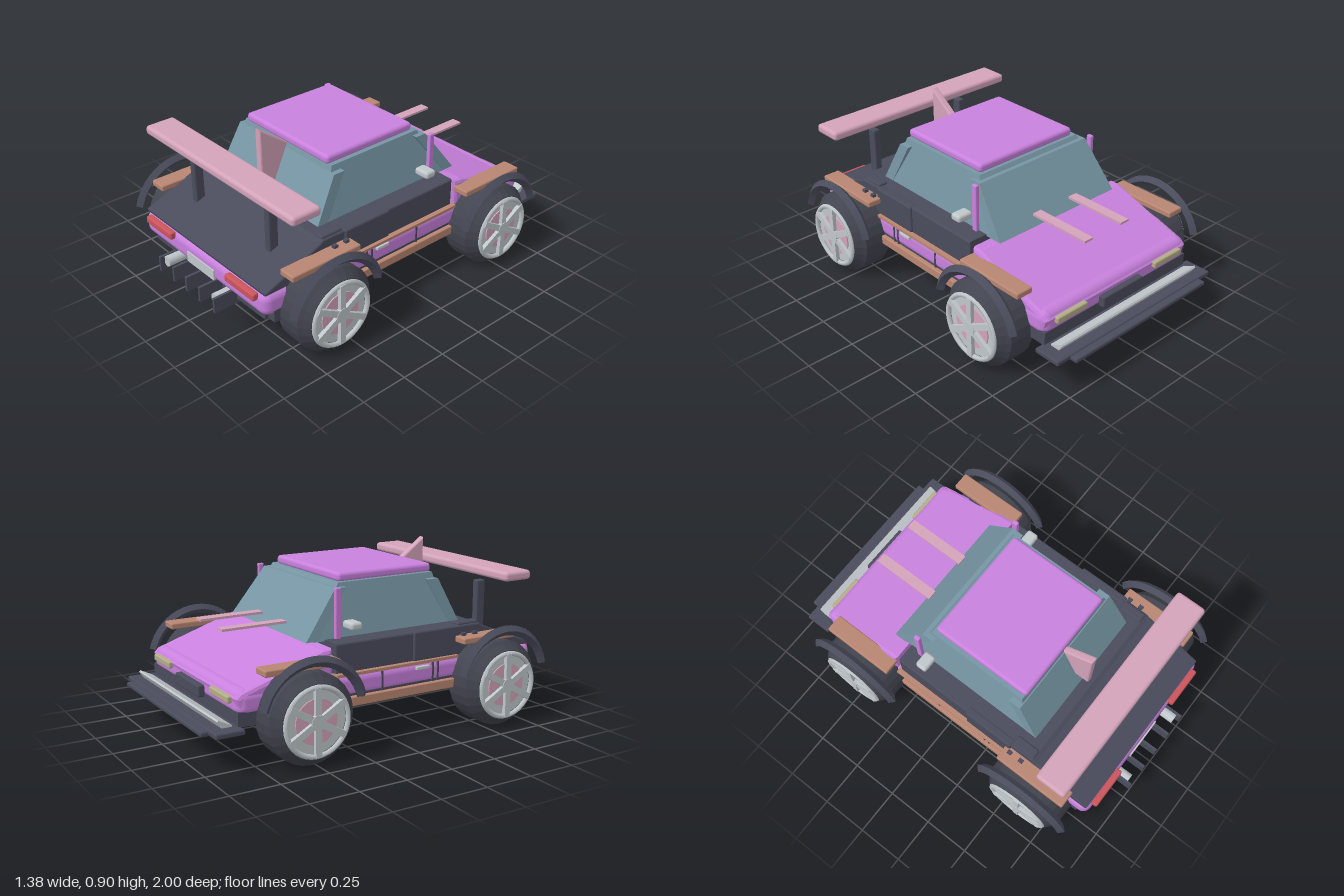
import * as THREE from 'three';
import { RoundedBoxGeometry } from 'three/addons/geometries/RoundedBoxGeometry.js';

const paint = (name, color) => {
  const m = new THREE.MeshStandardMaterial({ color });
  m.name = name;
  return m;
};

// Splits shared vertices so every face is shaded flat
function faceted(geo) {
  const g = geo.index ? geo.toNonIndexed() : geo;
  g.computeVertexNormals();
  return g;
}

// Side profile given as [z, y] points, extruded across x with a small bevel
function profile(points, width, bevel = 0.008) {
  const shape = new THREE.Shape(points.map(([z, y]) => new THREE.Vector2(z, y)));
  const depth = width - 2 * bevel;
  const g = new THREE.ExtrudeGeometry(shape, {
    depth, bevelEnabled: bevel > 0, bevelThickness: bevel, bevelSize: bevel, bevelOffset: -bevel, bevelSegments: 2,
  });
  g.translate(0, 0, -depth / 2);
  return g.rotateY(-Math.PI / 2);
}

// Tapered block: half widths and z ranges at the bottom and the top
function taper(y0, y1, w0, w1, [a0, b0], [a1, b1]) {
  const g = new THREE.BoxGeometry(1, 1, 1);
  const p = g.attributes.position;
  for (let i = 0; i < p.count; i++) {
    const top = p.getY(i) > 0;
    const w = top ? w1 : w0;
    const z = p.getZ(i) < 0 ? (top ? a1 : a0) : (top ? b1 : b0);
    p.setXYZ(i, Math.sign(p.getX(i)) * w, top ? y1 : y0, z);
  }
  return faceted(g);
}

export function createModel() {
  const car = new THREE.Group();
  car.name = 'car';
  const violet = paint('violet paint', 0xc981de);
  const dark = paint('dark slate', 0x4a4c5c);
  const tyreDark = paint('tyre dark', 0x42444f);
  const glass = paint('blue glass', 0x7796a4);
  const pink = paint('pink trim', 0xd4a3ba);
  const copper = paint('copper trim', 0xb98672);
  const silver = paint('silver', 0xc0c7cb);
  const red = paint('red lamp', 0xcc555c);
  const cream = paint('cream lamp', 0xb3ad87);

  const add = (name, geo, mat, parent = car) => {
    const mesh = new THREE.Mesh(geo, mat);
    mesh.name = name;
    parent.add(mesh);
    return mesh;
  };
  // Box from its min and max along each axis, rounded when r > 0
  const box = (name, mat, [x0, x1], [y0, y1], [z0, z1], r = 0) => {
    const size = [x1 - x0, y1 - y0, z1 - z0];
    const g = r ? new RoundedBoxGeometry(...size, 3, r) : new THREE.BoxGeometry(...size);
    g.translate((x0 + x1) / 2, (y0 + y1) / 2, (z0 + z1) / 2);
    return add(name, g, mat);
  };
  // The same box on both sides of the car
  const pair = (name, mat, [x0, x1], y, z, r) => {
    box(name + 'Left', mat, [x0, x1], y, z, r);
    box(name + 'Right', mat, [-x1, -x0], y, z, r);
  };

  // Body
  box('underbody', dark, [-0.5, 0.5], [0.2, 0.27], [-0.83, 0.85]);
  box('lowerBody', violet, [-0.505, 0.505], [0.24, 0.367], [-0.83, 0.905], 0.045);
  add('hood', profile([[-0.33, 0.3], [-0.33, 0.5], [-0.38, 0.495], [-0.81, 0.355], [-0.835, 0.33], [-0.82, 0.28]],
    1.0, 0.02), violet);
  add('upperBody', profile([[-0.31, 0.36], [-0.31, 0.517], [0.55, 0.517], [0.57, 0.503], [0.895, 0.375], [0.89, 0.36]],
    0.99), dark);
  pair('sidePod', dark, [0.46, 0.506], [0.37, 0.52], [0.135, 0.42], 0.01);
  pair('shoulderRail', dark, [0.43, 0.485], [0.5, 0.53], [0.42, 0.55], 0.01);

  // Cabin
  add('cabinGlass', taper(0.51, 0.775, 0.39, 0.335, [-0.37, 0.44], [-0.2, 0.36]), glass);
  add('windshield', taper(0.515, 0.755, 0.395, 0.365, [-0.415, -0.35], [-0.235, -0.17]), glass);
  add('rearWindow', taper(0.515, 0.745, 0.39, 0.37, [0.43, 0.495], [0.31, 0.375]), glass);
  box('roof', violet, [-0.315, 0.315], [0.77, 0.817], [-0.187, 0.37], 0.018);
  pair('pillar', violet, [0.385, 0.408], [0.51, 0.765], [-0.258, -0.226], 0.006);
  pair('mirror', silver, [0.385, 0.475], [0.562, 0.602], [-0.21, -0.145], 0.015);

  // Roof fin, hood strips and rear wing
  add('roofFin', profile([[0.537, 0.9], [0.537, 0.592], [0.455, 0.592], [0.37, 0.78]], 0.04, 0.01), pink);
  pair('hoodStrip', pink, [0.097, 0.152], [0.56, 0.572], [-0.735, -0.385]);
  box('rearWing', pink, [-0.592, 0.592], [0.733, 0.782], [0.635, 0.802], 0.018);
  pair('wingStrut', dark, [0.28, 0.32], [0.43, 0.695], [0.674, 0.727], 0.008);

  // Sides
  pair('sill', copper, [0.44, 0.522], [0.205, 0.253], [-0.33, 0.4], 0.006);
  pair('beltStrip', copper, [0.48, 0.522], [0.358, 0.373], [-0.32, 0.4]);
  for (const z of [0.283, 0.252, -0.052]) pair('doorSeam', dark, [0.5, 0.508], [0.255, 0.358], [z - 0.005, z + 0.005]);
  pair('doorHandle', silver, [0.5, 0.518], [0.326, 0.345], [0.145, 0.225], 0.005);
  for (const [a, b] of [[0.39, 0.8], [-0.73, -0.33]]) pair('fenderPad', copper, [0.485, 0.58], [0.437, 0.47], [a, b], 0.008);
  for (const z of [0.43, 0.5]) pair('fenderBolt', dark, [0.51, 0.53], [0.465, 0.485], [z - 0.012, z + 0.012]);

  // Tail
  pair('tailLamp', red, [0.225, 0.45], [0.324, 0.365], [0.895, 0.93], 0.01);
  box('tailPlate', silver, [-0.112, 0.112], [0.255, 0.312], [0.9, 0.912]);
  box('diffuserTray', dark, [-0.455, 0.455], [0.2, 0.235], [0.8, 0.87]);
  for (const x of [-0.23, -0.11, 0, 0.11, 0.23]) box('diffuserFin', dark, [x - 0.007, x + 0.007], [0.176, 0.257], [0.85, 1]);
  for (const x of [-0.205, 0.205]) {
    const pipe = new THREE.CylinderGeometry(0.028, 0.028, 0.14, 16).rotateX(Math.PI / 2);
    add('exhaust', pipe.translate(x, 0.232, 0.905), silver);
  }

  // Nose
  pair('headLamp', cream, [0.24, 0.44], [0.3, 0.335], [-0.853, -0.82], 0.008);
  box('grille', dark, [-0.14, 0.14], [0.25, 0.31], [-0.862, -0.82], 0.008);
  box('splitter', dark, [-0.547, 0.547], [0.178, 0.205], [-0.962, -0.815], 0.008);
  box('splitterLip', dark, [-0.465, 0.465], [0.174, 0.198], [-1, -0.9], 0.008);
  add('splitterBlade', profile([[-0.85, 0.2], [-0.85, 0.212], [-0.918, 0.246], [-0.924, 0.238], [-0.9, 0.2]], 0.96, 0.002), silver);

  // Wheels with six-spoke rims and fender arches
  const tyreProfile = [[0.001, 0.47], [0.13, 0.47], [0.17, 0.457], [0.205, 0.462], [0.222, 0.49], [0.222, 0.622],
    [0.205, 0.64], [0.18, 0.672], [0.168, 0.672], [0.162, 0.655], [0.001, 0.655]].map(([r, x]) => new THREE.Vector2(r, x));
  const turn = (g) => g.rotateZ(-Math.PI / 2);
  const tyre = faceted(turn(new THREE.LatheGeometry(tyreProfile, 28)));
  const disc = (r, x0, x1) => turn(new THREE.CylinderGeometry(r, r, x1 - x0, 28).translate(0, (x0 + x1) / 2, 0));
  const rimRing = new THREE.TorusGeometry(0.164, 0.013, 6, 36).rotateY(Math.PI / 2).translate(0.672, 0, 0);
  const arch = new THREE.TorusGeometry(0.265, 0.026, 4, 20, Math.PI * 5 / 6).rotateZ(Math.PI / 12);
  const archGeo = faceted(arch.rotateY(Math.PI / 2).translate(0.643, 0.012, 0));

  for (const [end, z] of [['rear', 0.595], ['front', -0.517]]) {
    for (const side of [1, -1]) {
      const wheel = new THREE.Group();
      wheel.name = end + 'Wheel' + (side > 0 ? 'Left' : 'Right');
      wheel.position.set(0, 0.222, z);
      wheel.rotation.y = side > 0 ? 0 : Math.PI;
      car.add(wheel);
      add('tyre', tyre, tyreDark, wheel);
      add('rimRing', rimRing, silver, wheel);
      add('rimDisc', disc(0.155, 0.65, 0.662), silver, wheel);
      add('brakeDisc', disc(0.11, 0.655, 0.668), pink, wheel);
      add('hub', disc(0.038, 0.655, 0.69), silver, wheel);
      for (let i = 0; i < 6; i++) {
        const spoke = new THREE.BoxGeometry(0.022, 0.15, 0.032).translate(0.676, 0.09, 0);
        add('spoke', spoke.rotateX(i * Math.PI / 3), silver, wheel);
      }
      add('fenderArch', archGeo, dark, wheel);
    }
  }
  // Axles
  for (const z of [0.595, -0.517]) {
    add('axle', turn(new THREE.CylinderGeometry(0.03, 0.03, 0.96, 12)).translate(0, 0.235, z), dark);
  }
  return car;
}
